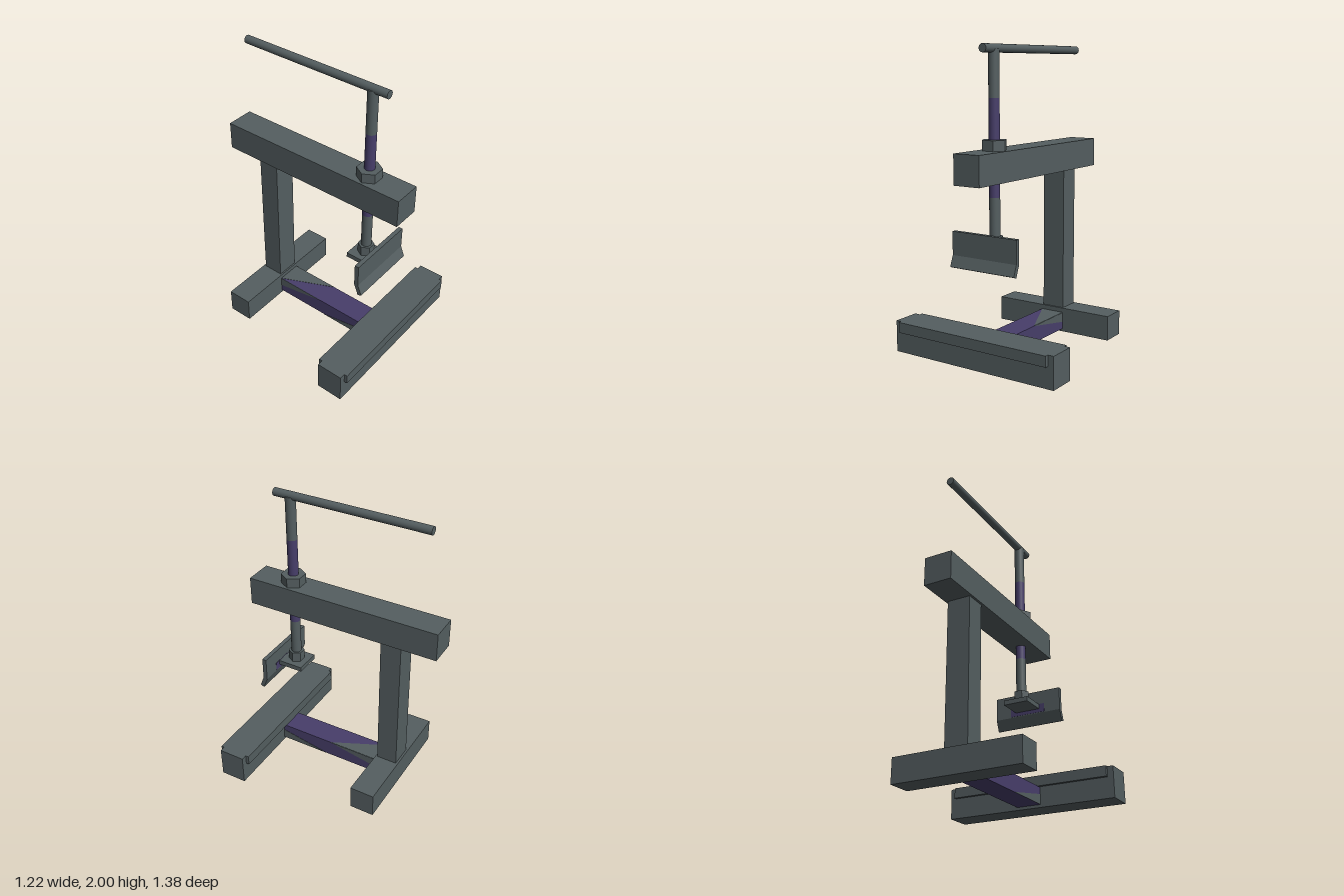
import * as THREE from 'three';

export function createModel() {
  const model = new THREE.Group();
  model.name = 'screwPress';
  const steel = new THREE.MeshStandardMaterial({ color: 0x545e60 });
  steel.name = 'grey steel';
  const purple = new THREE.MeshStandardMaterial({ color: 0x473e6a });
  purple.name = 'dark purple';

  const add = (name, geometry, material = steel) => {
    const mesh = new THREE.Mesh(geometry, material);
    mesh.name = name;
    model.add(mesh);
    return mesh;
  };
  // Box given by its limits on each axis
  const box = (name, [x0, x1], [y0, y1], [z0, z1], material) =>
    add(name, new THREE.BoxGeometry(x1 - x0, y1 - y0, z1 - z0), material)
      .position.set((x0 + x1) / 2, (y0 + y1) / 2, (z0 + z1) / 2);
  // Prism extruded along x from a [z, y] outline
  const prism = (name, outline, x0, x1, material) => {
    const shape = new THREE.Shape(outline.map(([z, y]) => new THREE.Vector2(-z, y)));
    const g = new THREE.ExtrudeGeometry(shape, { depth: x1 - x0, bevelEnabled: false });
    add(name, g.rotateY(Math.PI / 2).translate(x0, 0, 0), material);
  };
  // Upright round or six-sided part on the screw axis
  const screwZ = 0.402;
  const upright = (name, radius, y0, y1, sides, material) => {
    const g = new THREE.CylinderGeometry(radius, radius, y1 - y0, sides);
    if (sides === 6) {
      g.rotateY(Math.PI / 2);
      const flat = g.toNonIndexed();
      flat.computeVertexNormals();
      add(name, flat, material).position.set(0, (y0 + y1) / 2, screwZ);
    } else add(name, g, material).position.set(0, (y0 + y1) / 2, screwZ);
  };

  // Base: front foot with a strip on each face, and rear foot
  box('frontFoot', [-0.61, 0.61], [0, 0.21], [0.485, 0.67]);
  box('frontFootStrip', [-0.57, 0.57], [0.14, 0.21], [0.67, 0.693]);
  box('rearFootStrip', [-0.57, 0.57], [0.14, 0.21], [0.462, 0.485]);
  box('rearFoot', [-0.447, 0.447], [0, 0.17], [-0.457, -0.285]);

  // Connecting rail with diagonal painted bands
  const w = 0.085;
  box('baseRail', [-w, w], [0.02, 0.137], [-0.285, 0.485], purple);
  for (const x of [-w - 0.002, w]) {
    prism('railUpperPaint', [[0.08, 0.137], [-0.285, 0.137], [-0.285, 0.07]].reverse(), x, x + 0.002);
    prism('railLowerPaint', [[0.485, 0.09], [0.485, 0.02], [0.12, 0.02]].reverse(), x, x + 0.002);
  }
  const topPaint = new THREE.Shape([
    new THREE.Vector2(w, -0.08), new THREE.Vector2(w, 0.285), new THREE.Vector2(-w, 0.285)]);
  add('railTopPaint', new THREE.ExtrudeGeometry(topPaint, { depth: 0.002, bevelEnabled: false })
    .rotateX(-Math.PI / 2).translate(0, 0.137, 0));

  // Frame
  box('column', [-0.081, 0.081], [0.17, 1.15], [-0.442, -0.297]);
  box('topBeam', [-0.097, 0.097], [1.15, 1.345], [-0.692, 0.688]);

  // Screw, nut and turning handle
  upright('lowerScrew', 0.035, 0.73, 1.05, 24);
  upright('screwThread', 0.035, 1.05, 1.67, 24, purple);
  upright('upperScrew', 0.035, 1.67, 1.97, 24);
  upright('nut', 0.083, 1.345, 1.412, 6);
  upright('collar', 0.055, 0.73, 0.8, 6);
  add('handle', new THREE.CylinderGeometry(0.0275, 0.0275, 1.095, 24).rotateX(Math.PI / 2))
    .position.set(0, 1.9725, -0.03);

  // Pressing plate and bent blade
  box('pressPlate', [-0.09, 0.09], [0.695, 0.728], [0.312, 0.492]);
  prism('blade', [
    [0.522, 0.825], [0.522, 0.67], [0.55, 0.597], [0.523, 0.587], [0.492, 0.665], [0.492, 0.825],
  ], -0.247, 0.247);
  box('bladePatch', [-0.13, 0.13], [0.67, 0.73], [0.49, 0.492], purple);

  return model;
}
